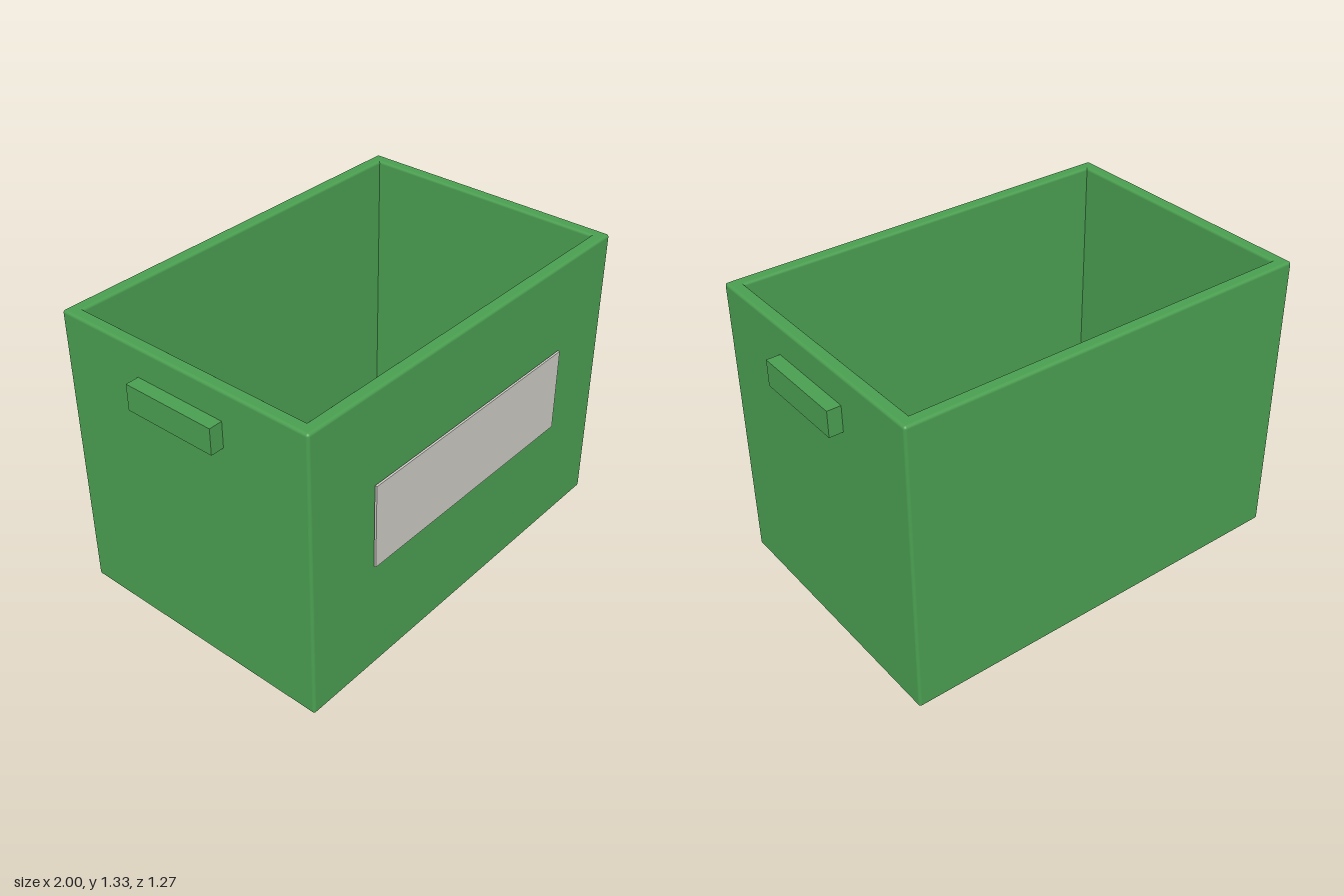
import * as THREE from 'three';
import { RoundedBoxGeometry } from 'three/addons/geometries/RoundedBoxGeometry.js';

export function createModel() {
  const green = new THREE.MeshStandardMaterial({ color: 0x4a9e50 });
  green.name = 'binGreen';
  const grey = new THREE.MeshStandardMaterial({ color: 0xcac8c2 });
  grey.name = 'labelGrey';

  const W = 1.88, H = 1.325, D = 1.25, T = 0.057, R = 0.012;
  const bodyZ = -0.008;

  const model = new THREE.Group();
  model.name = 'storageBin';
  const add = (name, geometry, material, x, y, z) => {
    const mesh = new THREE.Mesh(geometry, material);
    mesh.name = name;
    mesh.position.set(x, y, z);
    model.add(mesh);
  };
  const panel = (w, h, d) => new RoundedBoxGeometry(w, h, d, 3, R);

  // Open-topped body from softly rounded panels
  add('base', panel(W, T, D), green, 0, T / 2, bodyZ);
  add('frontWall', panel(W, H, T), green, 0, H / 2, bodyZ + (D - T) / 2);
  add('backWall', panel(W, H, T), green, 0, H / 2, bodyZ - (D - T) / 2);

  for (const [side, s] of [['left', 1], ['right', -1]]) {
    add(side + 'Wall', panel(T, H, D), green, s * (W - T) / 2, H / 2, bodyZ);
    // Block handle, its inner end sunk slightly into the wall
    add(side + 'Handle', new THREE.BoxGeometry(0.08, 0.116, 0.432), green, s * 0.96, 1.137, bodyZ);
  }

  // Blank label plate standing just off the front wall
  add('labelPlate', new THREE.BoxGeometry(1.2, 0.385, 0.0095), grey, 0, 0.726, 0.63);

  return model;
}
